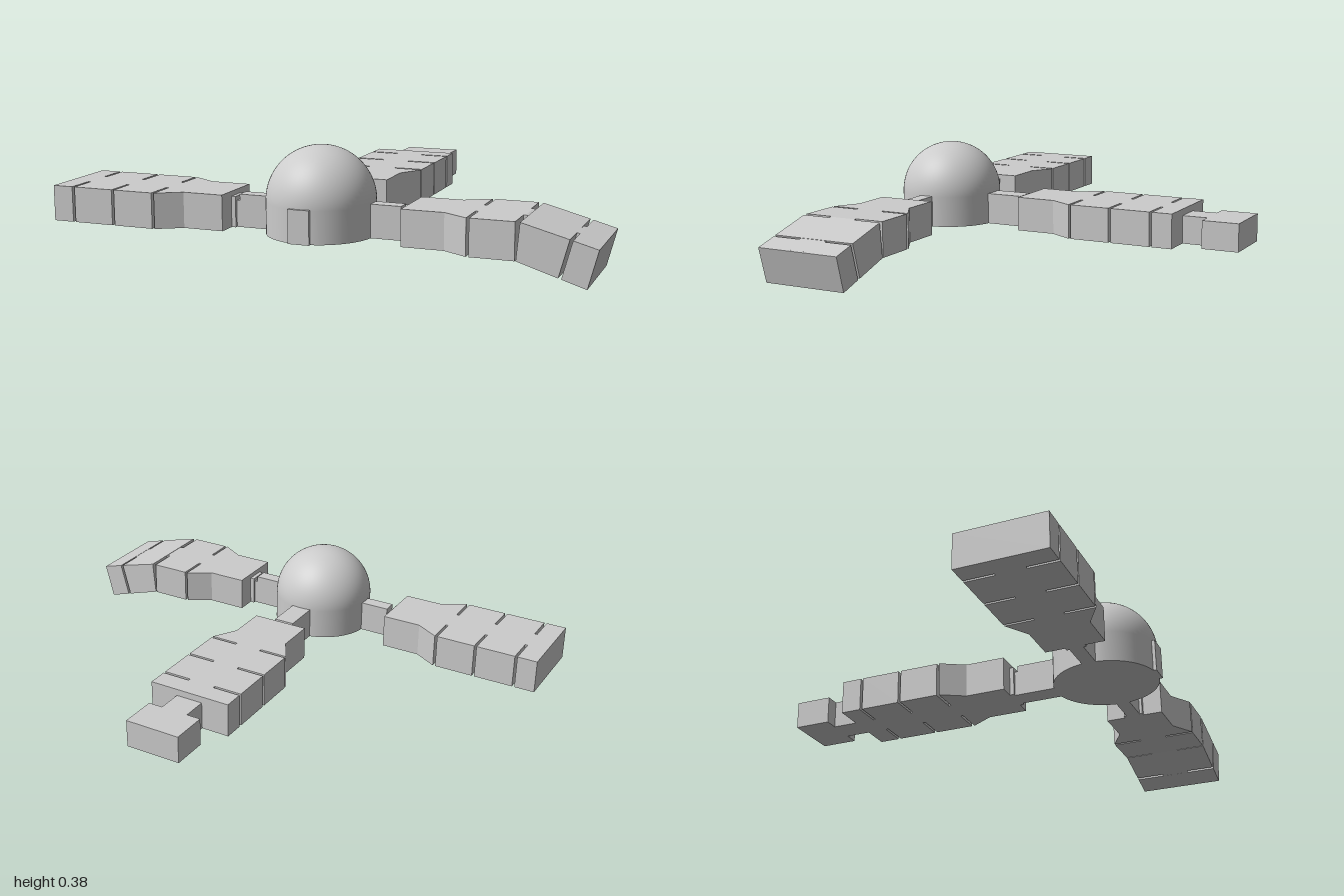
import * as THREE from 'three';

const BASE = 0.073, TOP = 0.203;      // underside and top of the wings
const HALF = 0.163, NARROW = 0.11;    // half widths of the wing panels and root
const BRIDGE = 0.053;                 // half width of the spine left between slots
const RADIUS = 0.195;
const CX = -0.01, CZ = 0.525;         // centre of the hub

const grey = new THREE.MeshStandardMaterial({ color: 0xcccccc });

function mesh(name, geometry, parent) {
  const m = new THREE.Mesh(geometry, grey);
  m.name = name;
  parent.add(m);
  return m;
}

// Box given by its limits
function box(name, x0, x1, y0, y1, z0, z1, parent) {
  const g = new THREE.BoxGeometry(x1 - x0, y1 - y0, z1 - z0);
  g.translate((x0 + x1) / 2, (y0 + y1) / 2, (z0 + z1) / 2);
  return mesh(name, g, parent);
}

const toShape = (pts) => new THREE.Shape(pts.map(([x, y]) => new THREE.Vector2(x, y)));

// Side profile in x/y, extruded evenly to both sides in z
function sideProfile(name, pts, half, parent) {
  const g = new THREE.ExtrudeGeometry(toShape(pts), { depth: half * 2, bevelEnabled: false });
  g.translate(0, 0, -half);
  return mesh(name, g, parent);
}

// Slotted wing seen from above, mirrored about its own x axis
function wing(name, slots, end, endHalf, parent) {
  const edge = [[0.333, NARROW], [0.485, NARROW], [0.575, HALF]];
  for (const s of slots) {
    edge.push([s, HALF], [s, BRIDGE], [s + 0.01, BRIDGE], [s + 0.01, HALF]);
  }
  edge.splice(2, 1);
  edge.push([end, endHalf]);
  const outline = [...edge.map(([x, z]) => [x, -z]), ...edge.reverse()];
  const g = new THREE.ExtrudeGeometry(toShape(outline), { depth: TOP - BASE, bevelEnabled: false });
  g.rotateX(-Math.PI / 2);
  g.translate(0, BASE, 0);
  return mesh(name, g, parent);
}

// Arm pointing along +x from the hub, with connector and notched clasp
function arm(name, angle, width, shift, parent) {
  const g = new THREE.Group();
  g.name = name;
  g.position.set(CX, 0, CZ);
  g.rotation.y = angle;
  parent.add(g);
  box('connector', 0.15, 0.305 + shift, BASE, 0.193, -width, width, g);
  box('claspFloor', 0.305 + shift, 0.32 + shift, BASE, 0.17, -width, width, g);
  box('claspPlate', 0.317 + shift, 0.335 + shift, BASE, 0.185, -width - 0.011, width + 0.011, g);
  const panels = new THREE.Group();
  panels.name = 'panels';
  panels.position.x = shift;
  g.add(panels);
  return panels;
}

export function createModel() {
  const model = new THREE.Group();
  model.name = 'domedHubWithArms';

  // Hub: short drum with a hemispherical roof
  const drum = mesh('hubDrum', new THREE.CylinderGeometry(RADIUS, RADIUS, 0.19 - BASE, 64), model);
  drum.position.set(CX, (0.19 + BASE) / 2, CZ);
  const dome = mesh('hubDome',
    new THREE.SphereGeometry(RADIUS, 64, 24, 0, Math.PI * 2, 0, Math.PI / 2), model);
  dome.position.set(CX, 0.19, CZ);
  box('frontTab', CX - 0.039, CX + 0.039, BASE, 0.193, CZ + 0.1, 0.728, model);

  // Right arm: straight and flat
  const right = arm('rightArm', Math.PI, 0.026, 0, model);
  wing('wing', [0.575, 0.738, 0.902], 0.99, HALF, right);

  // Left arm: outer panels bend downwards
  const left = arm('leftArm', 0, 0.026, 0, model);
  wing('wing', [0.575], 0.738, HALF, left);
  sideProfile('bentPanel',
    [[0.742, 0.073], [0.881, 0.03], [0.916, 0.159], [0.754, 0.202]], HALF, left);
  sideProfile('bentTip',
    [[0.891, 0.027], [0.975, 0.001], [1.01, 0.133], [0.926, 0.156]], HALF, left);
  sideProfile('bentSpine',
    [[0.73, 0.073], [0.742, 0.073], [0.97, 0.003], [1.003, 0.135], [0.745, 0.203], [0.73, 0.203]],
    BRIDGE, left);

  // Back arm: straight panels ending in a lower neck and end block
  const back = arm('backArm', Math.PI / 2, 0.04, 0.03, model);
  wing('wing', [0.575, 0.738, 0.902], 0.99, HALF, back);
  box('neck', 0.98, 1.09, BASE, 0.178, -BRIDGE, BRIDGE, back);
  box('endBlock', 1.085, 1.225, BASE, 0.178, -0.108, 0.108, back);

  return model;
}
